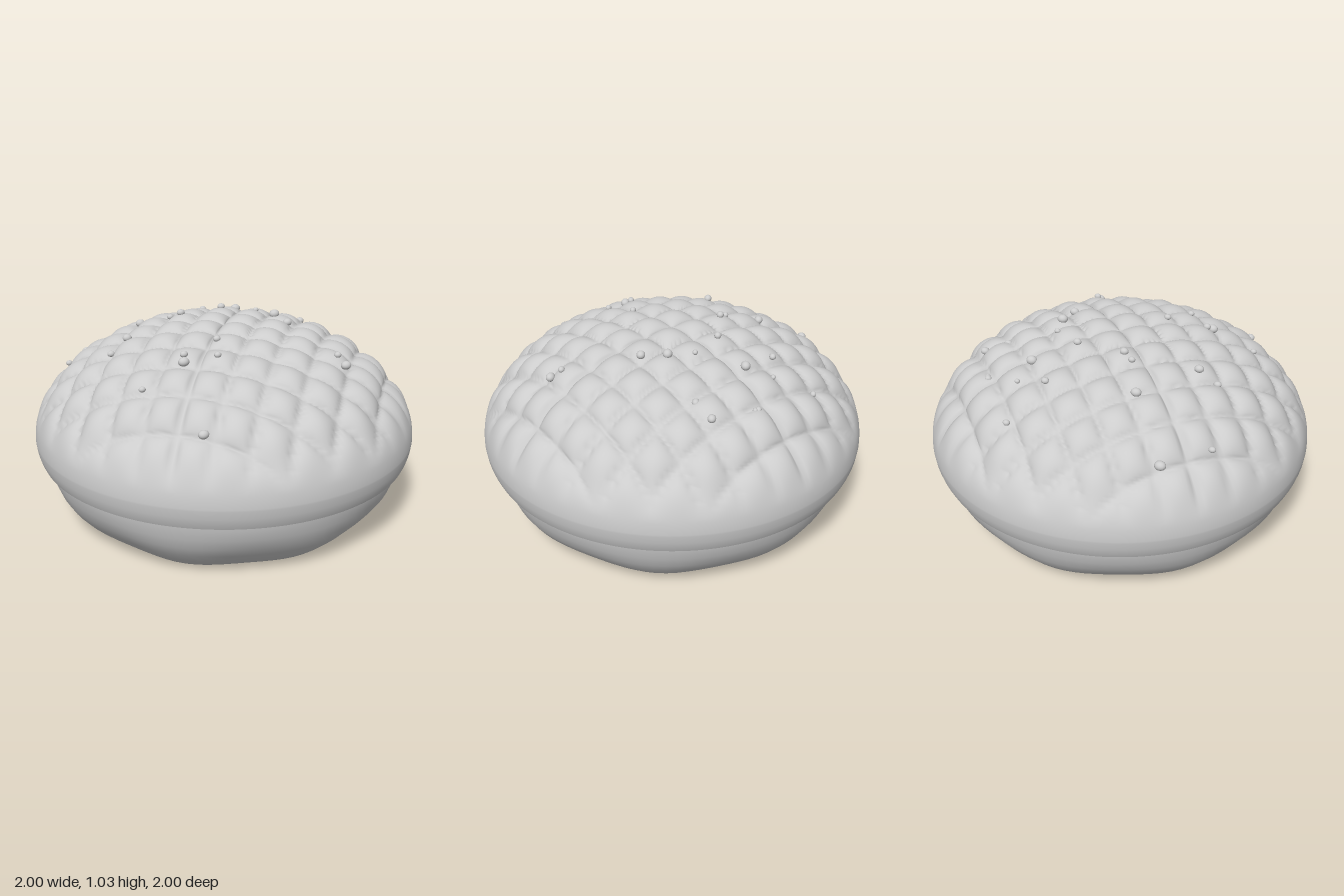
import * as THREE from 'three';
import { mergeVertices } from 'three/addons/utils/BufferGeometryUtils.js';

const PITCH = 0.172;   // distance between score lines
const DEPTH = 0.045;   // depth of score lines
const EQUATOR = 0.43, RISE = 0.6;

// Depth of the crosshatched scoring at a point of the crust, fading toward the rim
function groove(x, y, z) {
  const u = Math.abs(Math.sin((Math.PI * (x + z)) / Math.SQRT2 / PITCH));
  const v = Math.abs(Math.sin((Math.PI * (x - z)) / Math.SQRT2 / PITCH));
  return DEPTH * (1 - Math.sqrt(u * v)) * THREE.MathUtils.smoothstep(y, 0.5, 0.72);
}

// Press a crust point inward along the ellipsoid normal
function press(p) {
  if (p.y < EQUATOR) return p;
  const d = groove(p.x, p.y, p.z);
  const n = new THREE.Vector3(p.x, (p.y - EQUATOR) / (RISE * RISE), p.z).normalize();
  return p.addScaledVector(n, -d);
}

// Lathe whose vertices are moved by a rule, welded for smooth normals
function shapedLathe(points, segments, rule) {
  let g = new THREE.LatheGeometry(points, segments);
  g.deleteAttribute('uv');
  g.deleteAttribute('normal');
  const pos = g.attributes.position, p = new THREE.Vector3();
  for (let i = 0; i < pos.count; i++) {
    rule(p.fromBufferAttribute(pos, i));
    pos.setXYZ(i, p.x, p.y, p.z);
  }
  g = mergeVertices(g, 1e-5);
  g.computeVertexNormals();
  return g;
}

export function createModel() {
  const model = new THREE.Group();
  const bread = new THREE.MeshStandardMaterial({ color: 0xcccccc });
  bread.name = 'plain bread grey';
  const add = (name, geometry) => {
    const mesh = new THREE.Mesh(geometry, bread);
    mesh.name = name;
    model.add(mesh);
    return mesh;
  };

  // Bun base: rounded bowl, slightly eight-sided near the flat bottom
  const basePts = [[0, 0], [0.4, 0], [0.7, 0], [0.735, 0.002], [0.765, 0.025], [0.81, 0.065], [0.86, 0.12],
    [0.9, 0.18], [0.925, 0.24], [0.94, 0.3], [0.945, 0.35]].map(([x, y]) => new THREE.Vector2(x, y));
  add('bunBase', shapedLathe(basePts, 96, (p) => {
    const wave = 1 + 0.016 * Math.cos(8 * Math.atan2(p.z, p.x)) * (1 - Math.min(p.y / 0.25, 1));
    p.x *= wave;
    p.z *= wave;
  }));

  // Scored crust: a dome with a short tucked-in skirt
  const crustPts = [new THREE.Vector2(0.974, 0.33), new THREE.Vector2(0.985, 0.355), new THREE.Vector2(0.995, 0.39)];
  const rows = 100;
  for (let i = 0; i <= rows; i++) {
    const t = (i / rows) * Math.PI / 2;
    crustPts.push(new THREE.Vector2(i === rows ? 0 : Math.cos(t), EQUATOR + RISE * Math.sin(t)));
  }
  add('scoredCrust', shapedLathe(crustPts, 256, press));

  // Flat lip under the crust
  const lip = new THREE.RingGeometry(0.9, 0.974, 128);
  lip.rotateX(Math.PI / 2).translate(0, 0.33, 0);
  add('crustLip', lip);

  // Sugar grains scattered over the crust: x, z, radius
  const grains = [
    [-0.49, -0.69, 0.028], [-0.67, -0.5, 0.018], [-0.27, -0.44, 0.026], [0.27, -0.72, 0.018],
    [0.165, -0.515, 0.02], [0.315, -0.52, 0.014], [0.305, -0.385, 0.028], [0.52, -0.455, 0.018],
    [0.53, -0.44, 0.014], [0.66, -0.245, 0.024], [0.565, -0.165, 0.022], [0.125, -0.24, 0.021],
    [0.285, -0.14, 0.016], [0.32, -0.01, 0.028], [0.315, 0.12, 0.025], [-0.175, -0.265, 0.018],
    [-0.125, -0.24, 0.022], [-0.575, -0.15, 0.02], [-0.48, -0.155, 0.024], [-0.625, 0.31, 0.017],
    [-0.38, 0.265, 0.02], [-0.4, 0.3, 0.028], [-0.175, 0.225, 0.019], [-0.255, 0.37, 0.018],
    [0.355, 0.505, 0.019], [0.365, 0.56, 0.027], [-0.51, 0.68, 0.026],
  ];
  const grain = new THREE.SphereGeometry(1, 16, 12);
  grains.forEach(([x, z, r], i) => {
    const y = EQUATOR + RISE * Math.sqrt(1 - x * x - z * z);
    const mesh = add('sugarGrain' + (i + 1), grain);
    mesh.position.set(x, y - groove(x, y, z) + r * 0.35, z);
    mesh.scale.set(r, r * 0.8, r * 0.85);
  });

  return model;
}
